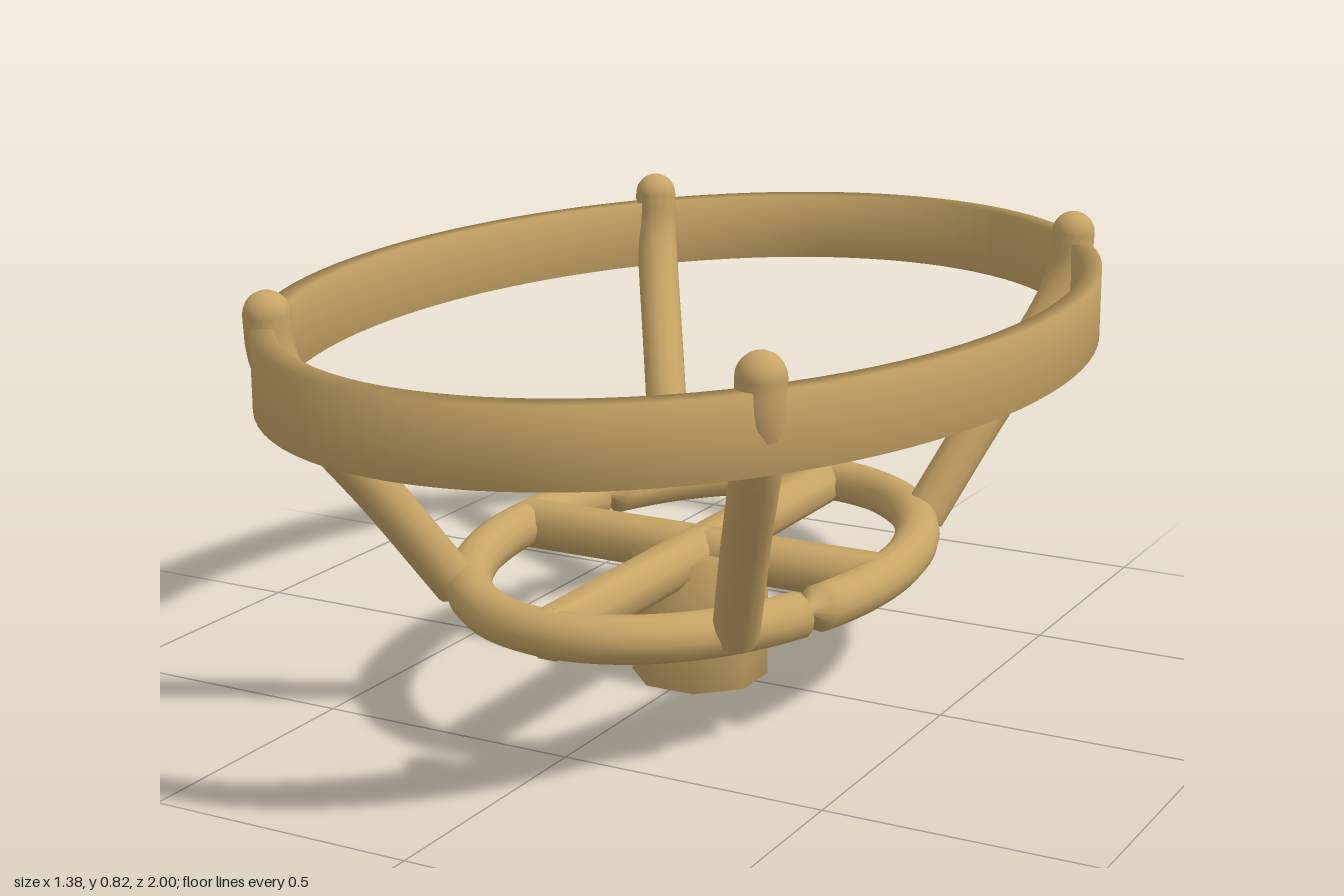
import * as THREE from 'three';
import { mergeVertices } from 'three/addons/utils/BufferGeometryUtils.js';

const material = new THREE.MeshStandardMaterial({ color: 0xc8a566 });

// Weld all corners so the shading runs softly over every edge
function soften(geometry) {
  geometry.deleteAttribute('uv');
  geometry.deleteAttribute('normal');
  const welded = mergeVertices(geometry, 1e-4);
  welded.computeVertexNormals();
  return welded;
}

function addMesh(parent, name, geometry) {
  const mesh = new THREE.Mesh(geometry, material);
  mesh.name = name;
  parent.add(mesh);
  return mesh;
}

// Tall flat oval band with a rectangular section
function upperBand() {
  const profile = [[0.95, 0.63], [1, 0.63], [1, 0.765], [0.95, 0.765], [0.95, 0.63]]
    .map(([r, y]) => new THREE.Vector2(r, y));
  return soften(new THREE.LatheGeometry(profile, 96).scale(0.69, 1, 1));
}

// Oval tube, squeezed to a thin neck at two opposite places
function lowerRing() {
  const a = 0.378, b = 0.55, radius = 0.043, segments = 128, sides = 14;
  const geometry = new THREE.TorusGeometry(1, 0.1, sides, segments);
  const position = geometry.attributes.position;
  for (let j = 0; j <= sides; j++) {
    for (let i = 0; i <= segments; i++) {
      const u = (i / segments) * Math.PI * 2, v = (j / sides) * Math.PI * 2;
      const r = i % 64 === 9 ? radius * 0.15 : radius;
      const n = new THREE.Vector2(b * Math.cos(u), a * Math.sin(u)).normalize();
      const out = r * Math.cos(v);
      position.setXYZ(j * (segments + 1) + i,
        a * Math.cos(u) + n.x * out, 0.245 - r * Math.sin(v), b * Math.sin(u) + n.y * out);
    }
  }
  return soften(geometry);
}

// Curved arm from the lower ring to the band, with a rounded tip
function arm(sx, sz) {
  const group = new THREE.Group();
  group.name = 'arm';
  const path = new THREE.CatmullRomCurve3([
    [0.285, 0.245, 0.4], [0.36, 0.43, 0.515], [0.447, 0.63, 0.645],
    [0.468, 0.71, 0.675], [0.472, 0.782, 0.68],
  ].map(([x, y, z]) => new THREE.Vector3(x * sx, y, z * sz)));
  const radius = 0.042;
  addMesh(group, 'armTube', new THREE.TubeGeometry(path, 28, radius, 14));
  addMesh(group, 'armTip', new THREE.SphereGeometry(radius, 16, 12)).position.copy(path.getPoint(1));
  const end = addMesh(group, 'armEnd', new THREE.CircleGeometry(radius, 14));
  end.position.copy(path.getPoint(0));
  end.lookAt(path.getPoint(0).sub(path.getTangent(0)));
  return group;
}

export function createModel() {
  const model = new THREE.Group();
  model.name = 'ovalStand';

  addMesh(model, 'upperBand', upperBand());
  addMesh(model, 'lowerRing', lowerRing());

  // Eight-sided foot
  const foot = new THREE.CylinderGeometry(0.13, 0.13, 0.25, 8).rotateY(Math.PI / 8);
  addMesh(model, 'foot', soften(foot.translate(0, 0.125, 0)));

  // Crossed spokes
  const spoke = (length) => new THREE.CylinderGeometry(0.048, 0.048, length, 8).rotateY(Math.PI / 8);
  addMesh(model, 'spokeAcross', soften(spoke(0.77).rotateZ(Math.PI / 2).translate(0, 0.243, 0)));
  addMesh(model, 'spokeLengthwise', soften(spoke(1.11).rotateX(Math.PI / 2).translate(0, 0.243, 0)));

  // Four arms
  for (const sx of [-1, 1]) for (const sz of [-1, 1]) model.add(arm(sx, sz));

  return model;
}
